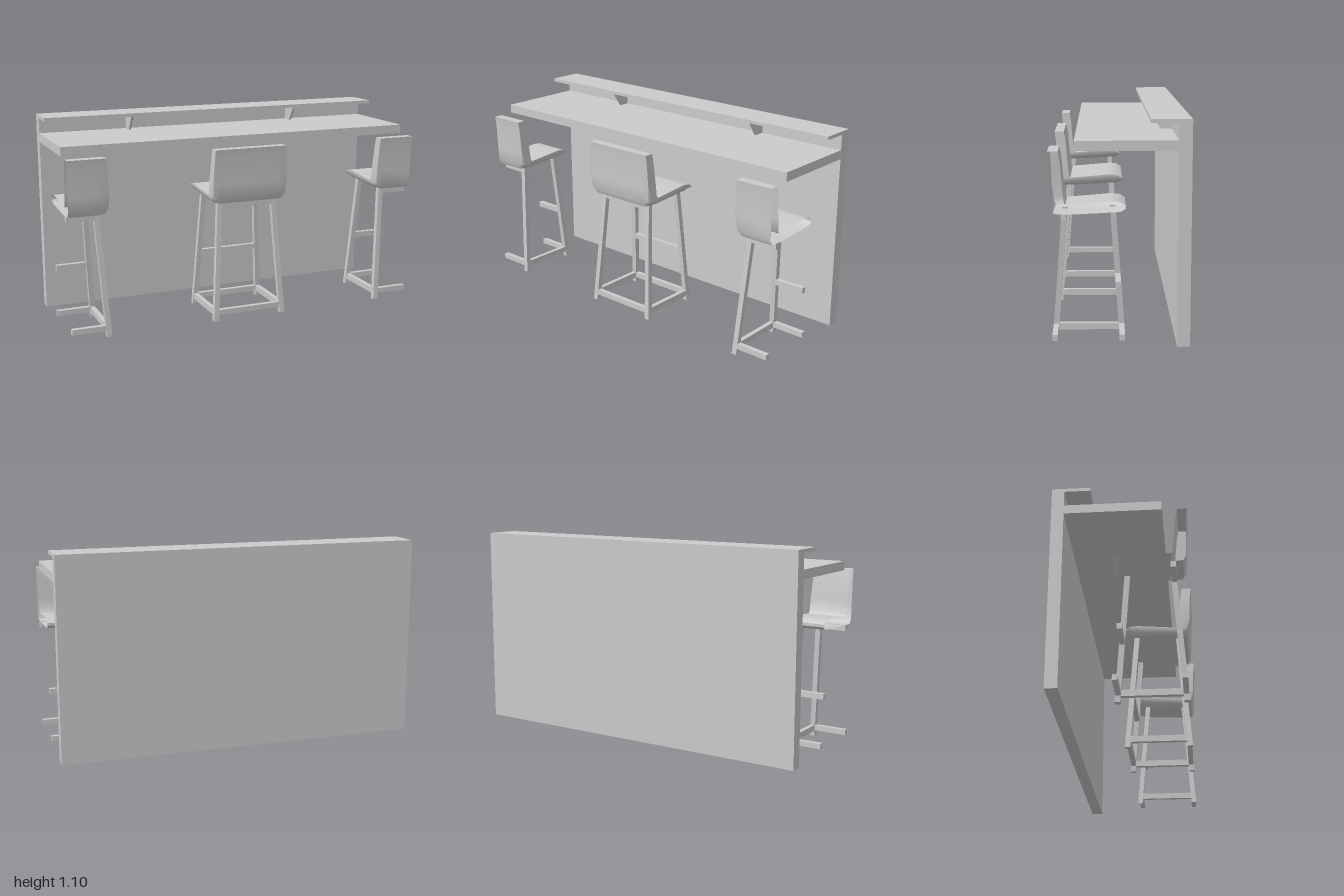
import * as THREE from 'three';
import { toCreasedNormals } from 'three/addons/utils/BufferGeometryUtils.js';

const mat = new THREE.MeshStandardMaterial({ color: 0xcccccc });
const shellMat = new THREE.MeshStandardMaterial({ color: 0xcccccc, side: THREE.DoubleSide });

function add(parent, name, geometry, material = mat) {
  const mesh = new THREE.Mesh(geometry, material);
  mesh.name = name;
  parent.add(mesh);
  return mesh;
}

// Box given by its limits on each axis
function block(parent, name, [x0, x1], [y0, y1], [z0, z1]) {
  const mesh = add(parent, name, new THREE.BoxGeometry(x1 - x0, y1 - y0, z1 - z0));
  mesh.position.set((x0 + x1) / 2, (y0 + y1) / 2, (z0 + z1) / 2);
}

// Seat shell section as pairs: outer z, y, inner z, y, share of thickness left at the sides
const SECTION = [
  [0.34, 0.95, 0.29, 0.95, 1],
  [0.334, 0.9, 0.281, 0.9, 1],
  [0.33, 0.76, 0.271, 0.78, 1],
  [0.328, 0.68, 0.264, 0.71, 0.7],
  [0.315, 0.655, 0.255, 0.698, 0.3],
  [0.26, 0.65, 0.22, 0.7, 0.15],
  [0.0, 0.663, 0.04, 0.715, 0.15],
  [-0.02, 0.672, 0.0, 0.711, 0.15],
  [-0.027, 0.68, -0.027, 0.695, 0.3],
];

// Loft of the section across x; ends at x = 0 stay open
function seatGeometry(from, to) {
  const stations = [-0.216, -0.208, -0.195, -0.175, -0.12, 0, 0.12, 0.175, 0.195, 0.208, 0.216]
    .filter((x) => x >= from && x <= to);
  const n = SECTION.length * 2;
  const pos = [];
  const index = [];
  for (const x of stations) {
    const u = Math.max(0, (Math.abs(x) - 0.165) / 0.051);
    const thin = 1 - Math.sqrt(1 - Math.min(1, u * u));
    const outer = SECTION.map(([oz, oy, iz, iy, k]) => {
      const t = 1 - (1 - k) * thin;
      return [iz + (oz - iz) * t, iy + (oy - iy) * t];
    });
    const inner = SECTION.map(([, , iz, iy]) => [iz, iy]).reverse();
    for (const [z, y] of [...outer, ...inner]) {
      const taper = 1 - 0.05 * Math.max(0, (y - 0.75) / 0.2);
      pos.push(x * taper, y, z);
    }
  }
  const quad = (a, b, c, d) => index.push(a, b, c, a, c, d);
  for (let i = 0; i < stations.length - 1; i++) {
    for (let j = 0; j < n; j++) {
      const k = (j + 1) % n;
      quad(i * n + j, i * n + k, (i + 1) * n + k, (i + 1) * n + j);
    }
  }
  const last = (stations.length - 1) * n;
  for (let j = 0; j < SECTION.length - 1; j++) {
    if (to > 0) quad(last + j, last + j + 1, last + n - 2 - j, last + n - 1 - j);
    if (from < 0) quad(n - 1 - j, n - 2 - j, j + 1, j);
  }
  const geo = new THREE.BufferGeometry();
  geo.setAttribute('position', new THREE.Float32BufferAttribute(pos, 3));
  geo.setIndex(index);
  return toCreasedNormals(geo, 0.7);
}

// Square leg leaning from its foot to its top
function legGeometry(foot, top, h) {
  const geo = new THREE.BoxGeometry(0.028, h, 0.028).translate(0, h / 2, 0);
  const p = geo.attributes.position;
  for (let i = 0; i < p.count; i++) {
    const end = p.getY(i) > h / 2 ? top : foot;
    p.setX(i, p.getX(i) + end[0]);
    p.setZ(i, p.getZ(i) + end[1]);
  }
  geo.computeVertexNormals();
  return geo;
}

// Bar stool covering the local range from..to along x
function stool(name, cx, from, to) {
  const g = new THREE.Group();
  g.name = name;
  add(g, 'seatShell', seatGeometry(from, to), shellMat);
  const span = (x) => [Math.max(from, -x), Math.min(to, x)];
  for (const s of [-1, 1]) {
    if (s < 0 ? from === 0 : to === 0) continue;
    add(g, 'outerLeg', legGeometry([s * 0.198, 0.316], [s * 0.157, 0.264], 0.66));
    add(g, 'innerLeg', legGeometry([s * 0.198, -0.016], [s * 0.157, 0.033], 0.668));
    const x = s * 0.195;
    block(g, 'sideFootRail', [x - 0.012, x + 0.012], [0.03, 0.063], [-0.002, 0.302]);
  }
  block(g, 'outerFootRail', span(0.187), [0.033, 0.062], [0.299, 0.325]);
  block(g, 'innerFootRail', span(0.187), [0.033, 0.062], [-0.025, 0.001]);
  block(g, 'middleRail', span(0.17), [0.295, 0.325], [-0.005, 0.021]);
  block(g, 'seatRail', span(0.155), [0.62, 0.652], [0.254, 0.28]);
  g.position.x = cx;
  return g;
}

export function createModel() {
  const model = new THREE.Group();
  model.name = 'barCounter';

  // Counter
  block(model, 'backWall', [-1, 1], [0, 1.1], [-0.338, -0.275]);
  block(model, 'counterTop', [-1, 1], [0.952, 1.0], [-0.275, 0.215]);
  block(model, 'upperLedge', [-1, 1], [1.082, 1.1], [-0.275, -0.143]);

  // Ledge brackets
  const shape = new THREE.Shape([
    new THREE.Vector2(0.275, 1.0), new THREE.Vector2(0.217, 1.0),
    new THREE.Vector2(0.163, 1.082), new THREE.Vector2(0.275, 1.082),
  ]);
  for (const x of [-0.5, 0.5]) {
    const geo = new THREE.ExtrudeGeometry(shape, { depth: 0.012, bevelEnabled: false });
    const bracket = add(model, 'ledgeBracket', geo);
    bracket.rotation.y = Math.PI / 2;
    bracket.position.x = x - 0.006;
  }

  // Whole stool in the middle, half stools at the ends
  model.add(stool('middleStool', 0, -0.216, 0.216));
  model.add(stool('leftStool', 1, -0.216, 0));
  model.add(stool('rightStool', -1, 0, 0.216));
  return model;
}
